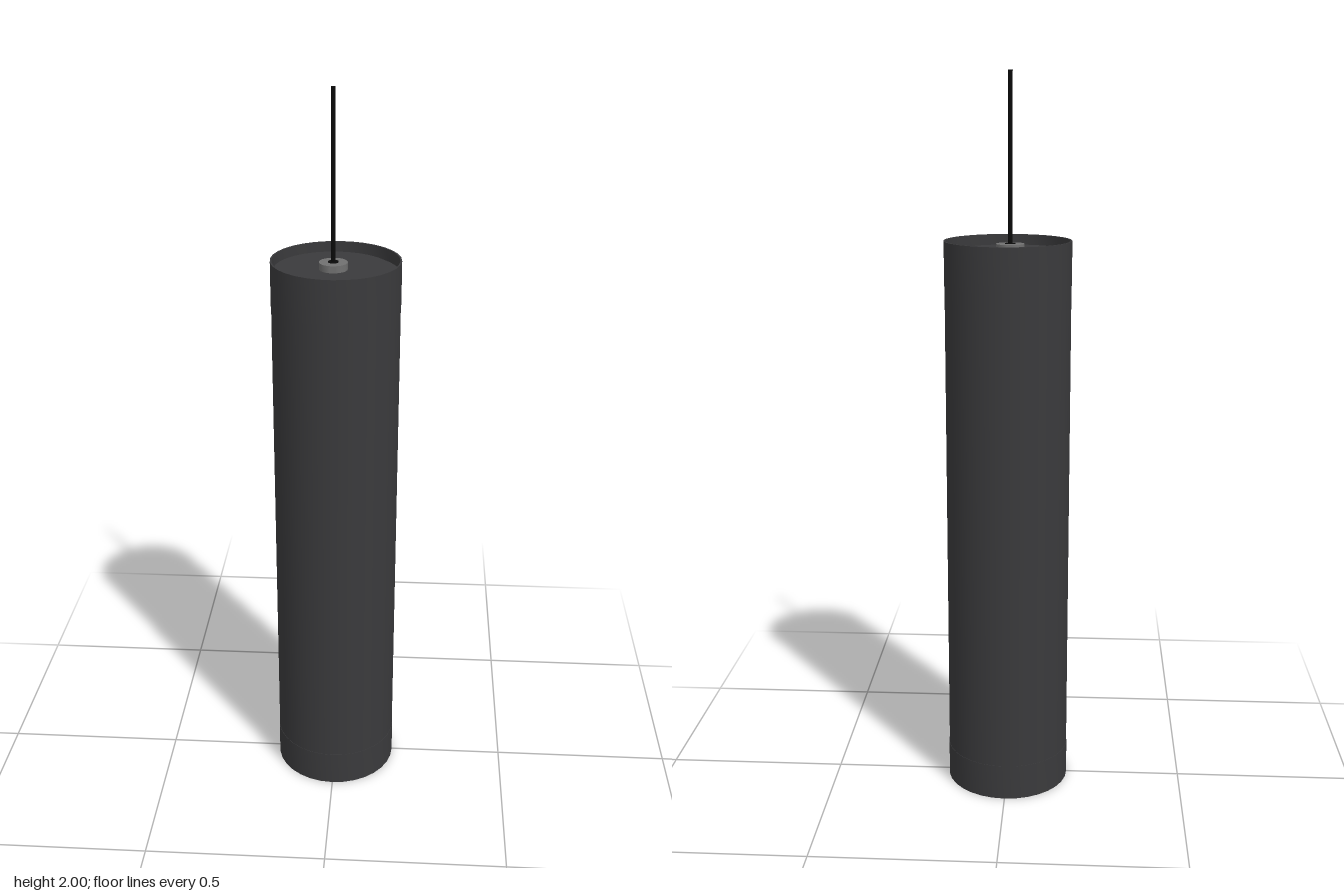
import * as THREE from 'three';
import { toCreasedNormals } from 'three/addons/utils/BufferGeometryUtils.js';

const SIDES = 32;
const dark = new THREE.MeshStandardMaterial({ color: 0x3a3a3c });
const grey = new THREE.MeshStandardMaterial({ color: 0x707070 });
const black = new THREE.MeshStandardMaterial({ color: 0x0a0a0a });

// Surface of revolution from [radius, height] pairs, listed bottom to top along the outside
function turned(name, profile, material, sides = SIDES) {
  const points = profile.map(([r, y]) => new THREE.Vector2(r, y));
  const geometry = toCreasedNormals(new THREE.LatheGeometry(points, sides), 0.6);
  const mesh = new THREE.Mesh(geometry, material);
  mesh.name = name;
  return mesh;
}

export function createModel() {
  const model = new THREE.Group();
  model.name = 'pendantLamp';

  // Long tube with slightly proud end bands, a closed base and a recessed top
  const R = 0.1725, r = 0.1715, H = 1.56;
  model.add(turned('lampBody', [
    [0, 0], [R, 0], [R, 0.1], [r, 0.1], [r, 1.44], [R, 1.44], [R, H],
    [0.168, H], [0.168, 1.527], [0, 1.527],
  ], dark));

  // Fittings in the recess sit slightly off the tube's axis
  const fittings = new THREE.Group();
  fittings.name = 'topFittings';
  fittings.position.set(-0.007, 0, -0.006);
  fittings.add(
    turned('lid', [[0.158, 1.525], [0.158, 1.533], [0, 1.533]], dark),
    turned('cableGland', [[0.038, 1.53], [0.038, 1.552], [0.014, 1.552], [0.014, 1.533]], grey),
    turned('bushing', [[0.014, 1.53], [0.014, 1.554], [0, 1.554]], black, 16),
    turned('cable', [[0.006, 1.54], [0.006, 2], [0, 2]], black, 12),
  );
  model.add(fittings);

  return model;
}
